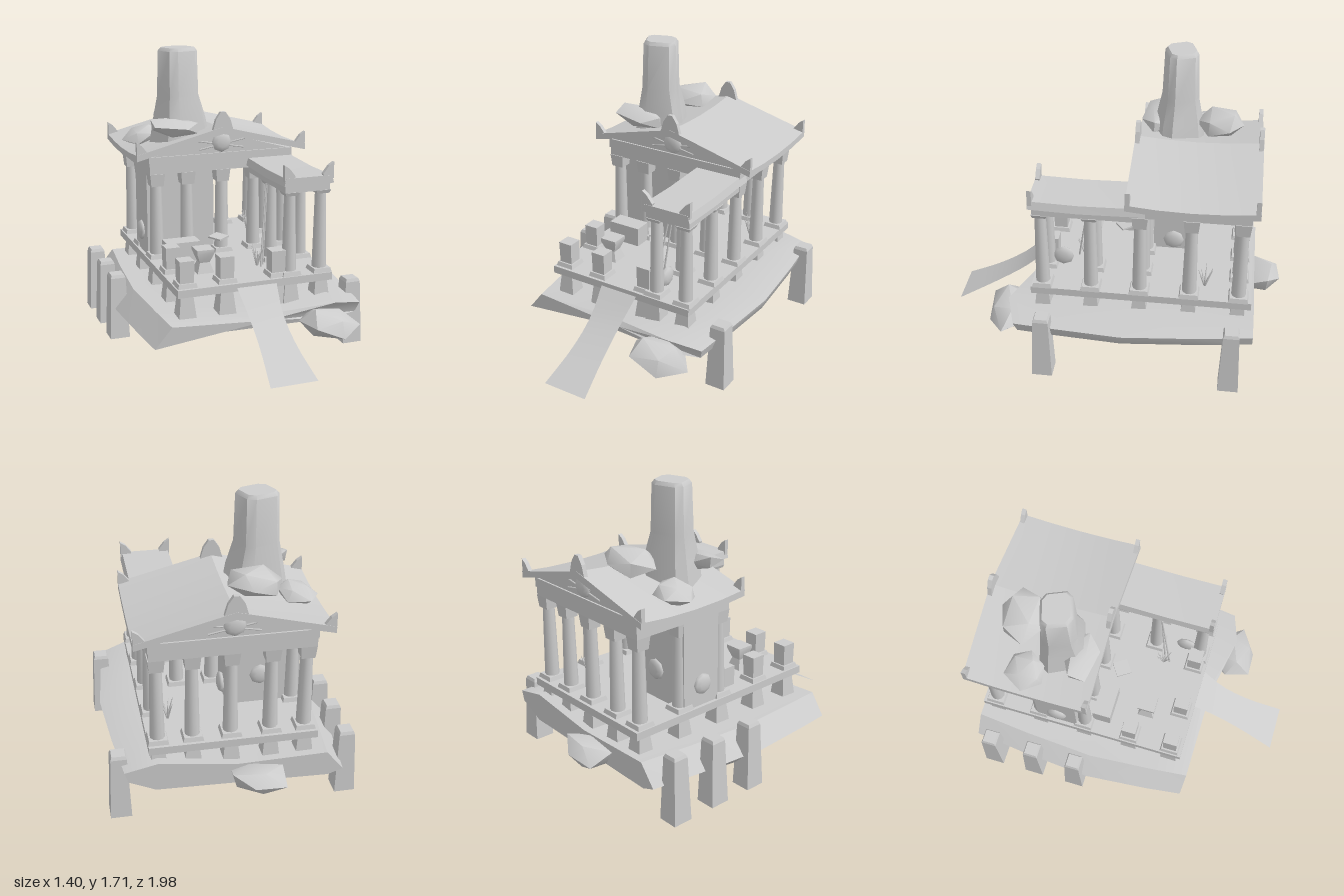
import * as THREE from 'three';
import { toCreasedNormals } from 'three/addons/utils/BufferGeometryUtils.js';

const mat = new THREE.MeshStandardMaterial({ color: 0xcccccc });
const thin = new THREE.MeshStandardMaterial({ color: 0xcccccc, side: THREE.DoubleSide });

export function createModel() {
  const root = new THREE.Group();

  const add = (name, geo, x = 0, y = 0, z = 0, m = mat) => {
    const mesh = new THREE.Mesh(geo, m);
    mesh.name = name;
    mesh.position.set(x, y, z);
    root.add(mesh);
    return mesh;
  };
  // Box given by its extents on each axis
  const box = (name, x0, x1, y0, y1, z0, z1) =>
    add(name, new THREE.BoxGeometry(x1 - x0, y1 - y0, z1 - z0), (x0 + x1) / 2, (y0 + y1) / 2, (z0 + z1) / 2);
  // Square tapered block, widths measured across the flats
  const taper = (name, x, z, y0, y1, w0, w1) => {
    const geo = new THREE.CylinderGeometry(w1 * Math.SQRT1_2, w0 * Math.SQRT1_2, y1 - y0, 4);
    geo.rotateY(Math.PI / 4);
    return add(name, toCreasedNormals(geo, 0.5), x, (y0 + y1) / 2, z);
  };
  // Skin over closed cross-sections, capped at both ends
  const loft = (sections, crease) => {
    const n = sections[0].length, last = sections.length - 1;
    const pts = sections.flat(), index = [];
    for (let i = 0; i < last; i++) {
      for (let j = 0; j < n; j++) {
        const a = i * n + j, b = i * n + (j + 1) % n;
        index.push(a, b, b + n, a, b + n, a + n);
      }
    }
    for (const [i, flip] of [[0, true], [last, false]]) {
      const c = pts.length;
      pts.push([0, 1, 2].map(k => sections[i].reduce((s, p) => s + p[k], 0) / n));
      for (let j = 0; j < n; j++) {
        const a = i * n + j, b = i * n + (j + 1) % n;
        index.push(c, flip ? b : a, flip ? a : b);
      }
    }
    const geo = new THREE.BufferGeometry();
    geo.setAttribute('position', new THREE.Float32BufferAttribute(pts.flat(), 3));
    geo.setIndex(index);
    return toCreasedNormals(geo, crease);
  };
  // Irregular boulder filling a bounding size
  const boulder = (name, x, y, z, sx, sy, sz, seed, tilt = 0) => {
    const geo = new THREE.IcosahedronGeometry(1, 0);
    geo.rotateY(seed);
    const p = geo.attributes.position;
    for (let i = 0; i < p.count; i++) {
      const v = new THREE.Vector3().fromBufferAttribute(p, i);
      const k = 1 + 0.16 * Math.sin(seed * 7 + v.x * 5 + v.y * 9 + v.z * 3);
      p.setXYZ(i, v.x * k, v.y * k, v.z * k);
    }
    geo.scale(sx / 2, sy / 2, sz / 2);
    geo.rotateZ(tilt);
    add(name, toCreasedNormals(geo, 0.8), x, y, z);
  };
  const plate = (name, points, x, y, z, depth = 0.025) => {
    const shape = new THREE.Shape(points.map(p => new THREE.Vector2(...p)));
    const geo = new THREE.ExtrudeGeometry(shape, { depth, bevelEnabled: false });
    geo.translate(0, 0, -depth / 2);
    return add(name, geo, x, y, z);
  };
  // Thin rod between two points
  const rod = (name, a, b, r0, r1) => {
    const from = new THREE.Vector3(...a), to = new THREE.Vector3(...b);
    const dir = to.clone().sub(from);
    const mesh = add(name, new THREE.CylinderGeometry(r1, r0, dir.length(), 5));
    mesh.position.copy(from).addScaledVector(dir, 0.5);
    mesh.quaternion.setFromUnitVectors(new THREE.Vector3(0, 1, 0), dir.normalize());
  };

  // Rock island: cross-sections from front to back
  const frontShift = [-0.03, -0.02, -0.05, 0.06, 0, -0.02, 0.01, -0.08];
  const island = [
    [0.55, 0.60, 0.28, 0.20], [0.3, 0.63, 0.29, 0.155], [-0.08, 0.665, 0.3, 0.10],
    [-0.5, 0.635, 0.31, 0.14], [-0.82, 0.6, 0.32, 0.18],
  ].map(([z, w, t, b], i) => [
    [-w, t - 0.11], [-0.84 * w, t + 0.01], [0, t], [0.72 * w, t + 0.06],
    [w * 1.03, t + 0.02], [w, t - 0.04], [0.75 * w, b + 0.03], [-0.86 * w, b],
  ].map(([x, y], j) => [x, y, z + (i === 0 ? frontShift[j] : 0)]));
  add('island', loft(island, 0.75));
  boulder('frontBoulder', 0.38, 0.23, 0.61, 0.36, 0.18, 0.28, 0.4, -0.15);
  boulder('backBoulder', -0.1, 0.25, -0.86, 0.33, 0.16, 0.28, 1.9, 0.1);

  // Mooring stakes
  for (const [x, z] of [[-0.64, -0.7], [-0.64, -0.43], [-0.64, -0.16], [0.64, -0.7], [0.64, 0.375]]) {
    taper('stake', x, z, 0, 0.375, 0.118, 0.09);
    taper('stakeTop', x, z, 0.375, 0.393, 0.09, 0.075);
  }

  // Deck and gangway
  box('deck', -0.45, 0.48, 0.425, 0.47, -0.8, 0.465);
  const ramp = new THREE.PlaneGeometry(1, 1, 1, 8);
  const rampPath = new THREE.CatmullRomCurve3([[0.45, 0.46, 0.12], [0.32, 0.6, 0.1], [0.2, 0.78, 0.105], [0.08, 1, 0.136]]
    .map(p => new THREE.Vector3(...p)));
  const rp = ramp.attributes.position;
  for (let i = 0; i < rp.count; i++) {
    const q = rampPath.getPoint(0.5 - rp.getY(i));
    rp.setXYZ(i, 0.015 + Math.sign(rp.getX(i)) * q.z, q.x, q.y);
  }
  ramp.computeVertexNormals();
  add('gangway', ramp, 0, 0, 0, thin);

  // Columns with their footings; porch columns are shorter
  const xs = [-0.385, -0.195, 0.025, 0.235, 0.425];
  const column = (x, z, top, capital) => {
    taper('footing', x, z, 0.25, 0.43, 0.11, 0.07);
    taper('columnBase', x, z, 0.468, 0.495, 0.115, 0.1);
    add('columnShaft', new THREE.CylinderGeometry(0.032, 0.042, top - 0.49, 10), x, (top + 0.49) / 2, z);
    taper('capital', x, z, top - capital, top, 0.075, 0.09);
  };
  for (const x of xs) for (const z of [-0.16, -0.725]) column(x, z, 0.987, 0.075);
  for (const x of [xs[0], xs[4]]) column(x, -0.445, 0.987, 0.075);
  for (const x of [xs[3], xs[4]]) for (const z of [0.4, 0.12]) column(x, z, 0.957, 0.02);

  // Pedestals left where columns are missing
  for (const [x, z] of [[-0.385, 0.13], [-0.385, 0.39], [-0.15, 0.39], [0.16, 0.39]]) {
    taper('footing', x, z, 0.25, 0.43, 0.11, 0.07);
    taper('pedestalBase', x, z, 0.468, 0.495, 0.115, 0.1);
    taper('pedestal', x, z, 0.49, 0.622, 0.08, 0.085);
  }

  // Inner chamber, entablature and pediment
  box('chamber', -0.43, -0.01, 0.47, 0.99, -0.45, -0.2);
  box('architrave', -0.43, 0.465, 0.985, 1.035, -0.77, -0.12);
  box('frieze', -0.435, 0.47, 1.035, 1.09, -0.775, -0.115);
  plate('pediment', [[-0.445, 0], [0.445, 0], [0, 0.125]], 0.015, 1.085, -0.445, 0.64);

  // Sagging gable roof
  for (const s of [-1, 1]) {
    const sections = [-0.085, -0.26, -0.445, -0.63, -0.81].map(z => {
      const sag = 0.022 * (1 - ((z + 0.4475) / 0.3625) ** 2);
      const loop = [[s * 0.53, 1.078], [s * 0.53, 1.115], [0, 1.25], [0, 1.208]]
        .map(([x, y]) => [x + 0.015, y - sag, z]);
      return s < 0 ? loop : loop.reverse();
    });
    add('roofSlope', loft(sections, 0.4));
  }

  // Roof ornaments on ridge ends and corners
  const crest = [[-0.065, -0.02], [0.065, -0.02], [0.045, 0.05], [0.015, 0.095], [-0.015, 0.095], [-0.045, 0.05]];
  const leaf = s => [[0, -0.02], [0, 0.075], [0.03, 0.055], [0.065, 0.01], [0.06, -0.01]]
    .map(([x, y]) => [-s * x, y]);
  for (const z of [-0.1, -0.795]) {
    plate('ridgeOrnament', crest, 0.015, 1.245, z);
    for (const s of [-1, 1]) plate('cornerOrnament', leaf(s), 0.015 + s * 0.53, 1.115, z);
  }

  // Side porch roof
  box('porchBeam', 0.19, 0.465, 0.955, 1.0, -0.12, 0.44);
  const porch = [0.462, 0.18, -0.19].map((z, i) =>
    [[0.175, 1.0], [0.185, 1.045], [0.465, 1.045], [0.478, 1.0]].map(([x, y]) => [x, y - [0, 0.008, 0][i], z]));
  add('porchRoof', loft(porch, 0.4));
  for (const s of [-1, 1]) plate('porchOrnament', leaf(s), 0.327 + s * 0.15, 1.045, 0.447);

  // Stone spire standing through the roof, with rocks around it
  const spire = [[1.705, 0.1, 0.085], [1.685, 0.118, 0.1], [1.42, 0.125, 0.11], [1.28, 0.16, 0.14], [1.1, 0.19, 0.16]]
    .map(([y, a, b], i) => Array.from({ length: 8 }, (_, k) => {
      const t = (Math.floor(k / 2) + (k % 2 ? 0.64 : 0.36)) * Math.PI / 2 - 0.35;
      return [-0.192 + (i > 2 ? 0.008 : 0) + a * Math.cos(t), y, -0.32 + b * Math.sin(t)];
    }));
  add('spire', loft(spire, 0.7));
  boulder('roofRock', -0.12, 1.29, -0.57, 0.34, 0.15, 0.28, 0.9, 0.1);
  boulder('roofRock', -0.38, 1.17, -0.47, 0.24, 0.12, 0.24, 2.6, 0.25);
  boulder('roofRock', -0.25, 1.25, -0.2, 0.34, 0.12, 0.19, 1.3, -0.1);

  // Round shields: position and facing axis
  const shield = (x, y, z, axis) => {
    const geo = new THREE.SphereGeometry(0.062, 8, 6);
    geo.rotateX(Math.PI / 2);
    geo.scale(1, 1, 0.4);
    if (axis === 'x') geo.rotateY(Math.PI / 2);
    add('shield', geo, x, y, z);
  };
  for (const z of [-0.12, -0.77]) {
    shield(0.015, 1.155, z, 'z');
    for (const s of [-1, 1]) rod('crossedSpear', [0.015 - s * 0.15, 1.168, z], [0.015 + s * 0.14, 1.115, z], 0.005, 0.005);
  }
  shield(0, 0.54, -0.32, 'x');
  shield(-0.435, 0.6, -0.32, 'x');
  shield(-0.2, 0.65, -0.455, 'z');
  shield(0.245, 0.54, 0.31, 'x');

  // Spears leaning on the porch
  rod('spear', [0.13, 0.47, 0.235], [0.19, 0.95, 0.155], 0.006, 0.004);
  rod('spear', [0.155, 0.47, 0.2], [0.2, 0.95, 0.15], 0.006, 0.004);

  // Deck furniture: altar, waisted stool and tilted slab
  box('altar', -0.365, -0.16, 0.47, 0.588, -0.115, -0.005);
  const stool = [[0.61, 0.052], [0.59, 0.052], [0.53, 0.03], [0.47, 0.05]]
    .map(([y, r]) => [[-1, -1], [1, -1], [1, 1], [-1, 1]].map(([x, z]) => [-0.21 + x * r, y, 0.19 + z * r]));
  add('stool', loft(stool, 0.6));
  const slab = add('slab', new THREE.BoxGeometry(0.09, 0.01, 0.09), -0.04, 0.597, -0.025);
  slab.rotation.set(0.08, 0.6, 0);

  // Grass tufts
  for (const [x, z] of [[0.34, -0.53], [0.12, 0.2]]) {
    for (let k = 0; k < 8; k++) {
      const a = k * 2.4, r = 0.03 + 0.006 * (k % 4);
      rod('grassBlade', [x, 0.47, z], [x + r * Math.cos(a), 0.56 + 0.012 * (k % 5), z + r * Math.sin(a)], 0.008, 0.001);
    }
  }
  return root;
}
